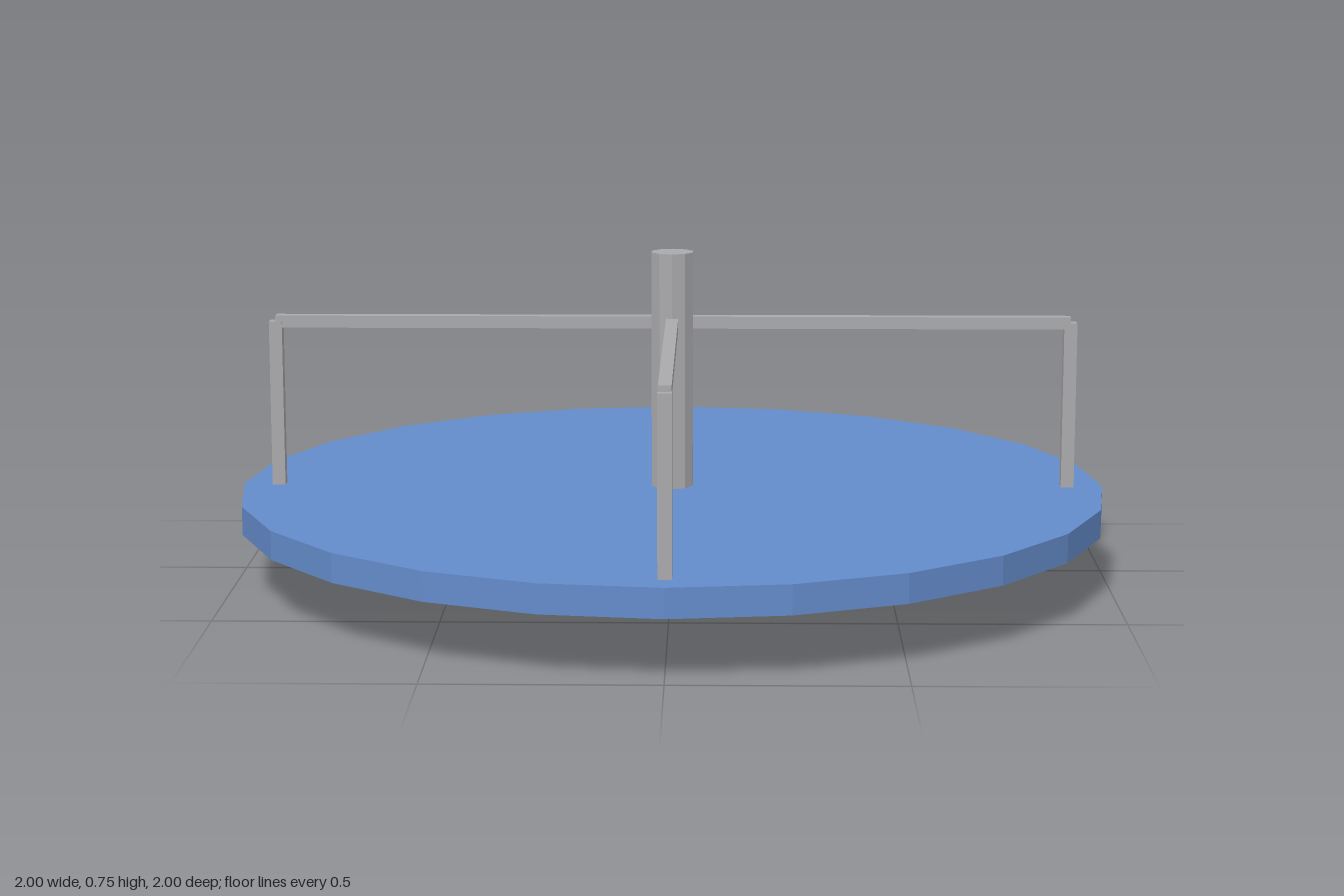
import * as THREE from 'three';

export function createModel() {
  const group = new THREE.Group();
  const blue = new THREE.MeshStandardMaterial({ color: 0x648ccb, flatShading: true });
  blue.name = 'bluePaint';
  const steel = new THREE.MeshStandardMaterial({ color: 0xaaaaad, flatShading: true });
  steel.name = 'greySteel';

  const add = (parent, name, geometry, material, x, y, z) => {
    const mesh = new THREE.Mesh(geometry, material);
    mesh.name = name;
    mesh.position.set(x, y, z);
    parent.add(mesh);
  };

  // Round platform and the central pole through it
  add(group, 'platform', new THREE.CylinderGeometry(1, 1, 0.065, 24), blue, 0, 0.17, 0);
  add(group, 'centrePole', new THREE.CylinderGeometry(0.05, 0.05, 0.75, 10), steel, 0, 0.375, 0);

  // Four handrails, each a spoke from the pole and a post near the rim
  const reach = 0.917, railY = 0.587, deckY = 0.2, thick = 0.028;
  const spoke = new THREE.BoxGeometry(reach, thick, thick);
  const post = new THREE.BoxGeometry(0.03, railY - deckY, 0.03);
  for (let i = 0; i < 4; i++) {
    const handrail = new THREE.Group();
    handrail.name = 'handrail' + (i + 1);
    add(handrail, 'spoke', spoke, steel, reach / 2, railY, 0);
    add(handrail, 'post', post, steel, reach, (railY + deckY) / 2, 0);
    handrail.rotation.y = i * Math.PI / 2;
    group.add(handrail);
  }
  return group;
}
